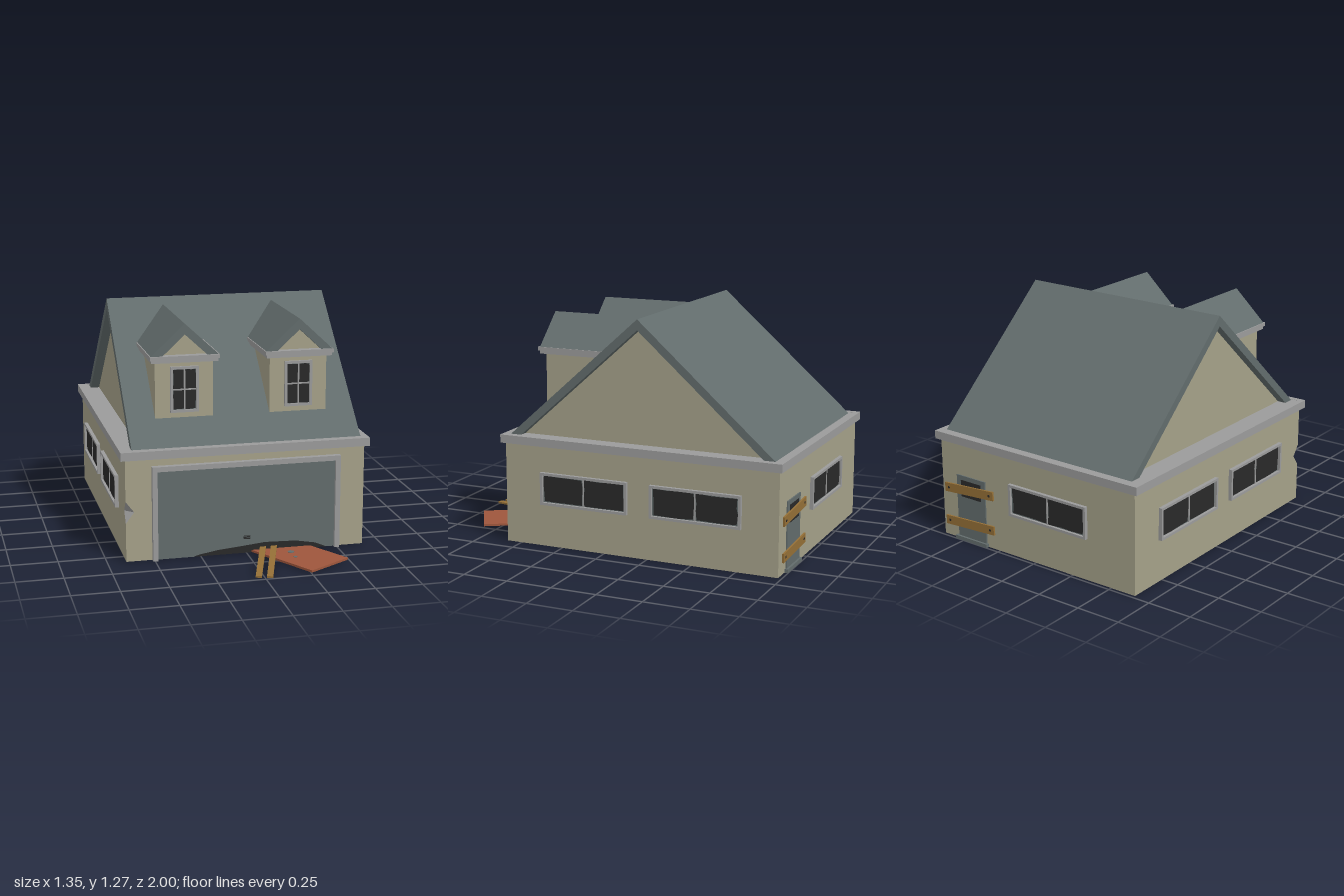
import * as THREE from 'three';

const mat = (name, color, side = THREE.FrontSide) => {
  const m = new THREE.MeshStandardMaterial({ color, side });
  m.name = name;
  return m;
};

export function createModel() {
  const cream = mat('creamWall', 0xa5a189, THREE.DoubleSide);
  const trim = mat('greyTrim', 0x9b9b9b, THREE.DoubleSide);
  const slate = mat('slate', 0x626c6c);
  const dark = mat('darkOpening', 0x292929);
  const wood = mat('wood', 0x946f36);
  const red = mat('redPaint', 0x9e563c);

  const house = new THREE.Group();
  house.name = 'house';

  let seed = 7;
  const rand = () => (seed = (seed * 16807) % 2147483647) / 2147483647;

  const add = (parent, name, geo, material) => {
    const m = new THREE.Mesh(geo, material);
    m.name = name;
    parent.add(m);
    return m;
  };
  // box given by its min and max on each axis
  const box = (parent, name, material, x0, x1, y0, y1, z0, z1) => {
    const m = add(parent, name, new THREE.BoxGeometry(x1 - x0, y1 - y0, z1 - z0), material);
    m.position.set((x0 + x1) / 2, (y0 + y1) / 2, (z0 + z1) / 2);
    return m;
  };
  const shapeOf = (pts) => new THREE.Shape(pts.map(([x, y]) => new THREE.Vector2(x, y)));
  const extrude = (pts, depth) =>
    new THREE.ExtrudeGeometry(shapeOf(pts), { depth, bevelEnabled: false });
  // extrude a (z, y) profile along x, from x0 to x1
  const extrudeX = (pts, x0, x1) =>
    extrude(pts.map(([z, y]) => [-z, y]), x1 - x0).rotateY(Math.PI / 2).translate(x0, 0, 0);

  // main walls: open underneath, with a dented front right corner
  const W = 0.65, F = 0.585, B = -0.98, H = 0.565;
  const frontWall = shapeOf([
    [-W, 0], [-0.49, 0], [-0.49, 0.5], [0.49, 0.5], [0.49, 0], [W, 0],
    [W, H], [-W, H], [-W, 0.33], [-0.605, 0.27], [-W, 0.21],
  ]);
  add(house, 'frontWall', new THREE.ShapeGeometry(frontWall).translate(0, 0, F), cream);
  const rightWall = shapeOf([
    [B, 0], [F, 0], [F, 0.21], [F - 0.045, 0.27], [F, 0.33], [F, H], [B, H],
  ]);
  add(house, 'rightWall', new THREE.ShapeGeometry(rightWall).rotateY(-Math.PI / 2).translate(-W, 0, 0), cream);
  const leftWall = new THREE.PlaneGeometry(F - B, H).rotateY(Math.PI / 2);
  add(house, 'leftWall', leftWall.translate(W, H / 2, (F + B) / 2), cream);
  const backWall = new THREE.PlaneGeometry(2 * W, H).rotateY(Math.PI);
  add(house, 'backWall', backWall.translate(0, H / 2, B), cream);

  const dent = new THREE.BufferGeometry();
  dent.setAttribute('position', new THREE.Float32BufferAttribute([
    -W, 0.33, F, -W, 0.27, F - 0.045, -0.605, 0.27, F,
    -W, 0.21, F, -0.605, 0.27, F, -W, 0.27, F - 0.045,
  ], 3));
  dent.computeVertexNormals();
  add(house, 'cornerDent', dent, trim);

  // eaves ring round the top of the walls, with the ceiling above it
  const ring = shapeOf([[-0.675, -0.605], [0.675, -0.605], [0.675, 1], [-0.675, 1]]);
  ring.holes.push(shapeOf([[-0.64, -0.575], [-0.64, 0.97], [0.64, 0.97], [0.64, -0.575]]));
  const eaves = new THREE.ExtrudeGeometry(ring, { depth: 0.045, bevelEnabled: false });
  add(house, 'eaves', eaves.rotateX(-Math.PI / 2).translate(0, 0.555, 0), trim);
  box(house, 'ceiling', trim, -0.642, 0.642, 0.588, 0.599, -0.972, 0.577);

  // gable and main roof
  add(house, 'gable', extrudeX([[0.515, 0.6], [-0.19, 1.225], [-0.905, 0.6]], -0.56, 0.585), cream);
  add(house, 'mainRoof', extrudeX([
    [0.56, 0.6], [-0.19, 1.27], [-0.95, 0.6], [-0.888, 0.6], [-0.19, 1.213], [0.498, 0.6],
  ], -0.61, 0.635), slate);

  // window facing +z, centred on its own origin, with broken panes
  const makeWindow = (name, w, h, cols, rows, d) => {
    const g = new THREE.Group();
    g.name = name;
    const t = 0.014, z = 0.001;
    for (const s of [-1, 1]) {
      const x = s * (w - t) / 2, y = s * (h - t) / 2;
      box(g, 'frameSide', trim, x - t / 2, x + t / 2, -h / 2, h / 2, z, d);
      box(g, 'frameRail', trim, -w / 2 + t, w / 2 - t, y - t / 2, y + t / 2, z, d);
    }
    box(g, 'glass', slate, -w / 2 + t, w / 2 - t, -h / 2 + t, h / 2 - t, z, 0.006);
    const pw = (w - 2 * t) / cols, ph = (h - 2 * t) / rows;
    for (let i = 1; i < cols; i++) {
      const x = -w / 2 + t + i * pw;
      box(g, 'mullion', trim, x - 0.004, x + 0.004, -h / 2 + t, h / 2 - t, z, 0.012);
    }
    for (let j = 1; j < rows; j++) {
      const y = -h / 2 + t + j * ph;
      box(g, 'crossbar', trim, -w / 2 + t, w / 2 - t, y - 0.004, y + 0.004, z, 0.011);
    }
    for (let i = 0; i < cols; i++) for (let j = 0; j < rows; j++) {
      const pts = [];
      for (let k = 0; k < 12; k++) {
        const a = (k + 0.5) / 12 * Math.PI * 2;
        const r = (0.9 + 0.09 * rand()) / Math.max(Math.abs(Math.cos(a)), Math.abs(Math.sin(a)));
        pts.push([Math.cos(a) * r * pw / 2, Math.sin(a) * r * ph / 2]);
      }
      const hole = add(g, 'brokenPane', new THREE.ShapeGeometry(shapeOf(pts)), dark);
      hole.position.set(-w / 2 + t + (i + 0.5) * pw, -h / 2 + t + (j + 0.5) * ph, 0.009);
    }
    house.add(g);
    return g;
  };
  for (const s of [-1, 1]) for (const z of [0.115, -0.525]) {
    const win = makeWindow('sideWindow', 0.51, 0.178, 2, 1, 0.021);
    win.position.set(s * W, 0.322, z);
    win.rotation.y = s * Math.PI / 2;
  }
  const backWindow = makeWindow('backWindow', 0.515, 0.178, 2, 1, 0.02);
  backWindow.position.set(-0.093, 0.322, B);
  backWindow.rotation.y = Math.PI;

  // dormers
  for (const cx of [-0.3, 0.323]) {
    const g = new THREE.Group();
    g.name = 'dormer';
    g.position.x = cx;
    house.add(g);
    add(g, 'dormerWalls', extrudeX([[0.42, 0.715], [0.42, 1.04], [0.05, 1.04]], -0.157, 0.157), cream);
    box(g, 'dormerEaves', trim, -0.187, 0.187, 1.043, 1.063, 0.0, 0.455);
    box(g, 'dormerFascia', trim, -0.18, 0.18, 1.026, 1.043, 0.0, 0.447);
    const roof = extrude([
      [-0.182, 1.063], [-0.12, 1.063], [0, 1.175], [0.12, 1.063], [0.182, 1.063], [0, 1.232],
    ], 0.595);
    add(g, 'dormerRoof', roof.translate(0, 0, -0.15), slate);
    const pediment = extrude([[-0.13, 1.06], [0.13, 1.06], [0, 1.18]], 0.4);
    add(g, 'dormerPediment', pediment.translate(0, 0, 0.015), cream);
    makeWindow('dormerWindow', 0.152, 0.247, 2, 2, 0.015).position.set(cx, 0.878, 0.42);
  }

  // garage door with frame, handle and broken bottom edge
  for (const s of [-1, 1]) {
    box(house, 'garageJamb', trim, s * 0.4975 - 0.0135, s * 0.4975 + 0.0135, 0, 0.515, 0.575, 0.615);
  }
  box(house, 'garageLintel', trim, -0.484, 0.484, 0.488, 0.515, 0.575, 0.615);
  box(house, 'garageDoor', slate, -0.486, 0.486, 0.003, 0.49, 0.58, 0.597);
  for (const y of [0.083, 0.09, 0.097]) {
    box(house, 'garageHandle', dark, -0.018, 0.018, y - 0.002, y + 0.002, 0.597, 0.601);
  }
  const gap = extrude([
    [-0.29, 0.004], [0.44, 0.004], [0.38, 0.03], [0.27, 0.05], [0.1, 0.055],
    [-0.05, 0.04], [-0.16, 0.03], [-0.26, 0.013],
  ], 0.003);
  add(house, 'brokenGap', gap.translate(0, 0, 0.597), dark);

  // boarded back door
  box(house, 'backDoor', slate, 0.34, 0.54, 0.02, 0.375, B - 0.008, B - 0.001);
  box(house, 'doorHole', dark, 0.37, 0.51, 0.255, 0.35, B - 0.01, B - 0.002);
  box(house, 'doorStep', slate, 0.33, 0.555, 0, 0.02, -1, B - 0.001);
  for (const [y, tilt] of [[0.3, -0.07], [0.105, -0.05]]) {
    const plank = new THREE.Group();
    plank.name = 'doorPlank';
    plank.position.set(0.447, y, B - 0.014);
    plank.rotation.z = tilt;
    box(plank, 'plank', wood, -0.172, 0.172, -0.025, 0.025, -0.005, 0.005);
    for (const s of [-1, 1]) {
      const nail = add(plank, 'nail', new THREE.CylinderGeometry(0.007, 0.007, 0.002, 8), dark);
      nail.rotation.x = Math.PI / 2;
      nail.position.set(s * 0.145, 0, -0.006);
    }
    house.add(plank);
  }

  // fallen red door and loose boards by the garage
  const fallen = new THREE.Group();
  fallen.name = 'fallenDoor';
  fallen.position.set(0.231, 0.011, 0.672);
  fallen.rotation.y = 0.539;
  box(fallen, 'doorPanel', red, -0.139, 0.139, -0.006, 0.006, -0.27, 0.27);
  for (const [x, z, r] of [[-0.01, 0.0, 0.018], [-0.05, 0.07, 0.01]]) {
    add(fallen, 'doorSpot', new THREE.CylinderGeometry(r, r, 0.003, 10), slate).position.set(x, 0.007, z);
  }
  house.add(fallen);
  for (const [x, z] of [[0.036, 0.762], [0.091, 0.779]]) {
    const board = add(house, 'looseBoard', new THREE.BoxGeometry(0.032, 0.01, 0.46), wood);
    board.position.set(x, 0.019, z);
    board.rotation.set(0.045, -0.31, 0, 'YXZ');
  }
  return house;
}
